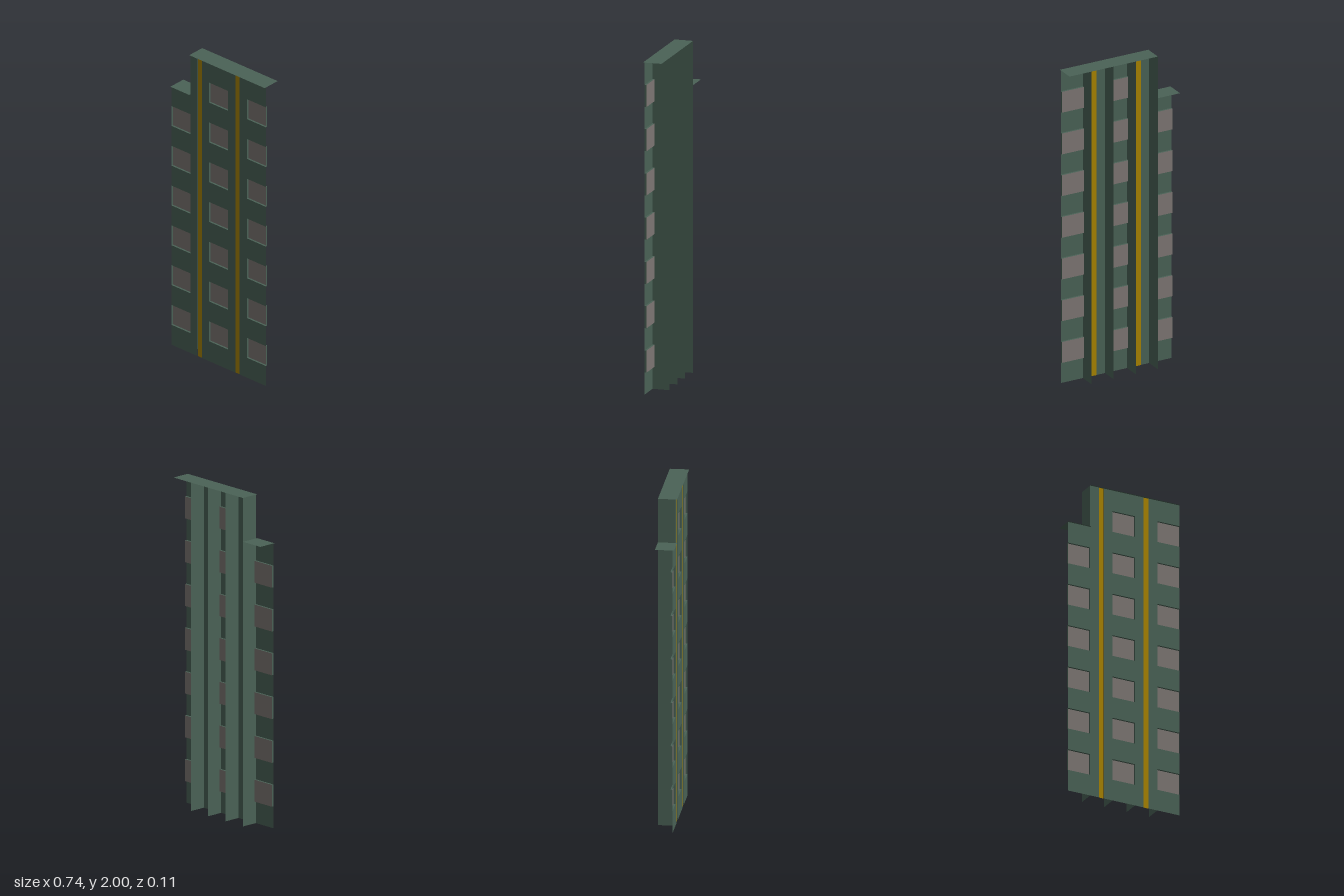
import * as THREE from 'three';
import { mergeGeometries } from 'three/addons/utils/BufferGeometryUtils.js';

const U = 0.0741;            // horizontal module: window columns are 2U wide
const ROW = 2 / 7.5;         // storey height
const FRONT = 0.047, BACK = -0.057, EAVE = 0.057;
const PANE = 0.035;          // depth of the recessed glass
const GOLD = 0.0165;         // half width of the gold strips

// Flat panels in the three principal planes
const panelXY = (x0, x1, y0, y1, z) =>
  new THREE.PlaneGeometry(x1 - x0, y1 - y0).translate((x0 + x1) / 2, (y0 + y1) / 2, z);
const panelYZ = (x, y0, y1, z0, z1) =>
  new THREE.PlaneGeometry(z1 - z0, y1 - y0).rotateY(Math.PI / 2).translate(x, (y0 + y1) / 2, (z0 + z1) / 2);
const panelXZ = (x0, x1, y, z0, z1) =>
  new THREE.PlaneGeometry(x1 - x0, z1 - z0).rotateX(-Math.PI / 2).translate((x0 + x1) / 2, y, (z0 + z1) / 2);

export function createModel() {
  const group = new THREE.Group();
  const material = (color) => new THREE.MeshStandardMaterial({ color, side: THREE.DoubleSide });
  const green = material(0x4a6256), glass = material(0x7d7673), gold = material(0xa88300);
  const add = (name, parts, mat) => {
    const mesh = new THREE.Mesh(mergeGeometries(parts), mat);
    mesh.name = name;
    group.add(mesh);
  };

  const wall = [], reveals = [], panes = [], strips = [], fins = [];

  // Window columns: wall bands alternate with recessed windows
  const columns = [
    { x0: -5 * U, x1: -3 * U, rows: 6, top: 6.5 * ROW },
    { x0: -U, x1: U, rows: 7, top: 2 },
    { x0: 3 * U, x1: 5 * U, rows: 7, top: 2 },
  ];
  for (const { x0, x1, rows, top } of columns) {
    let bandStart = 0;
    for (let i = 0; i < rows; i++) {
      const y0 = (i + 0.5) * ROW, y1 = (i + 1) * ROW;
      wall.push(panelXY(x0, x1, bandStart, y0, FRONT));
      panes.push(panelXY(x0, x1, y0, y1, PANE));
      for (const y of [y0, y1]) reveals.push(panelXZ(x0, x1, y, PANE, FRONT));
      for (const x of [x0, x1]) reveals.push(panelYZ(x, y0, y1, PANE, FRONT));
      bandStart = y1;
    }
    wall.push(panelXY(x0, x1, bandStart, top, FRONT));
  }

  // Solid piers between the columns, each split by a gold strip, with fins behind
  for (const side of [-1, 1]) {
    const c = side * 2 * U;
    wall.push(panelXY(c - U, c - GOLD, 0, 2, FRONT), panelXY(c + GOLD, c + U, 0, 2, FRONT));
    strips.push(panelXY(c - GOLD, c + GOLD, 0, 2, FRONT - 0.002));
    for (const x of [c - U, c + U]) fins.push(panelYZ(x, 0, 2, BACK, FRONT));
  }

  add('facadeWall', wall, green);
  add('windowReveals', reveals, green);
  add('windowPanes', panes, glass);
  add('goldStrips', strips, gold);
  add('rearFins', fins, green);

  // Stepped roof slabs, slightly overhanging the front
  add('upperRoof', [panelXZ(-3 * U, 5 * U, 2, BACK, EAVE)], green);
  add('lowerRoof', [panelXZ(-5 * U, -3 * U, 6.5 * ROW, BACK, EAVE)], green);

  return group;
}
